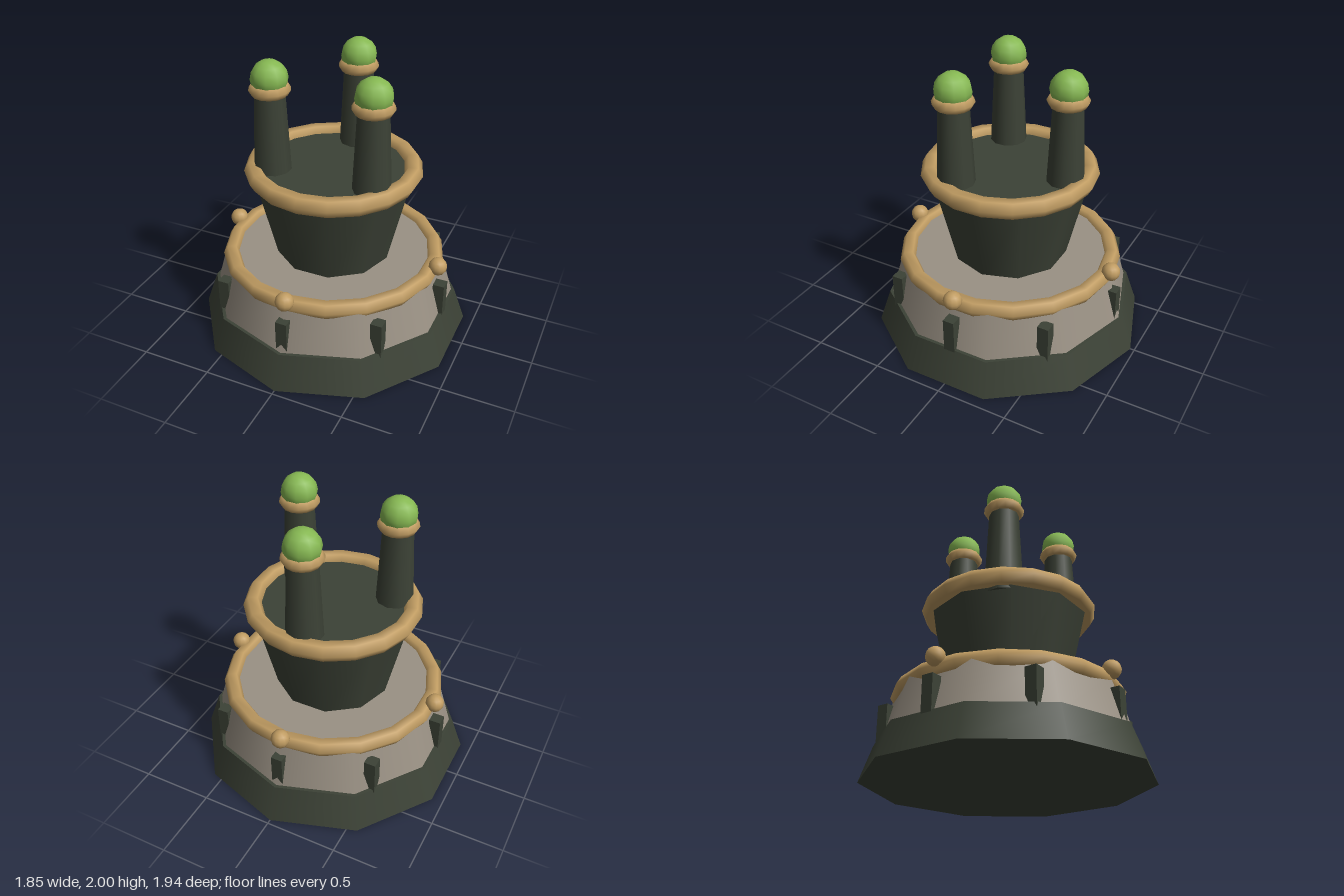
import * as THREE from 'three';

const paint = (name, color) => {
  const m = new THREE.MeshStandardMaterial({ color });
  m.name = name;
  return m;
};

export function createModel() {
  const group = new THREE.Group();
  const dark = paint('dark green', 0x3c4236);
  const stone = paint('warm grey', 0x9a9184);
  const tan = paint('tan', 0xc09c62);
  const green = paint('leaf green', 0x86b852);

  const add = (name, geometry, material, x = 0, y = 0, z = 0) => {
    const mesh = new THREE.Mesh(geometry, material);
    mesh.name = name;
    mesh.position.set(x, y, z);
    group.add(mesh);
    return mesh;
  };
  // Tapered drum standing between two heights
  const drum = (name, rTop, rBottom, y0, y1, sides, material, x = 0, z = 0) =>
    add(name, new THREE.CylinderGeometry(rTop, rBottom, y1 - y0, sides), material, x, (y0 + y1) / 2, z);
  // Horizontal six-sided ring with a corner towards +z
  const ring = (name, radius, tube, segments, x, y, z) =>
    add(name, new THREE.TorusGeometry(radius, tube, 6, segments).rotateZ(Math.PI / 2).rotateX(Math.PI / 2), tan, x, y, z);

  // Stepped body
  drum('base', 0.885, 0.97, 0, 0.245, 10, dark);
  drum('lowerTier', 0.768, 0.875, 0.2, 0.575, 10, stone);
  ring('lowerRing', 0.73, 0.06, 18, 0, 0.558, 0);
  drum('cup', 0.561, 0.4, 0.55, 1.23, 10, dark).rotation.y = Math.PI / 2;
  ring('upperRing', 0.545, 0.066, 18, 0, 1.217, 0);

  // Square ribs round the lower tier
  for (let i = 0; i < 8; i++) {
    const a = (i * Math.PI) / 4;
    add('rib', new THREE.BoxGeometry(0.08, 0.295, 0.08), dark, 0.806 * Math.sin(a), 0.3275, 0.806 * Math.cos(a));
  }

  // Four studs on the lower ring
  for (let i = 0; i < 4; i++) {
    const a = (i * Math.PI) / 2;
    add('stud', new THREE.SphereGeometry(0.064, 12, 8), tan, 0.78 * Math.sin(a), 0.61, 0.78 * Math.cos(a));
  }

  // Three towers with collars and domes
  for (let i = 0; i < 3; i++) {
    const a = Math.PI / 3 + (i * Math.PI * 2) / 3;
    const x = 0.415 * Math.sin(a), z = 0.415 * Math.cos(a);
    drum('tower', 0.1, 0.133, 1.14, 1.82, 10, dark, x, z);
    ring('collar', 0.097, 0.043, 14, x, 1.803, z);
    add('dome', new THREE.SphereGeometry(0.125, 10, 8), green, x, 1.875, z);
  }
  return group;
}
